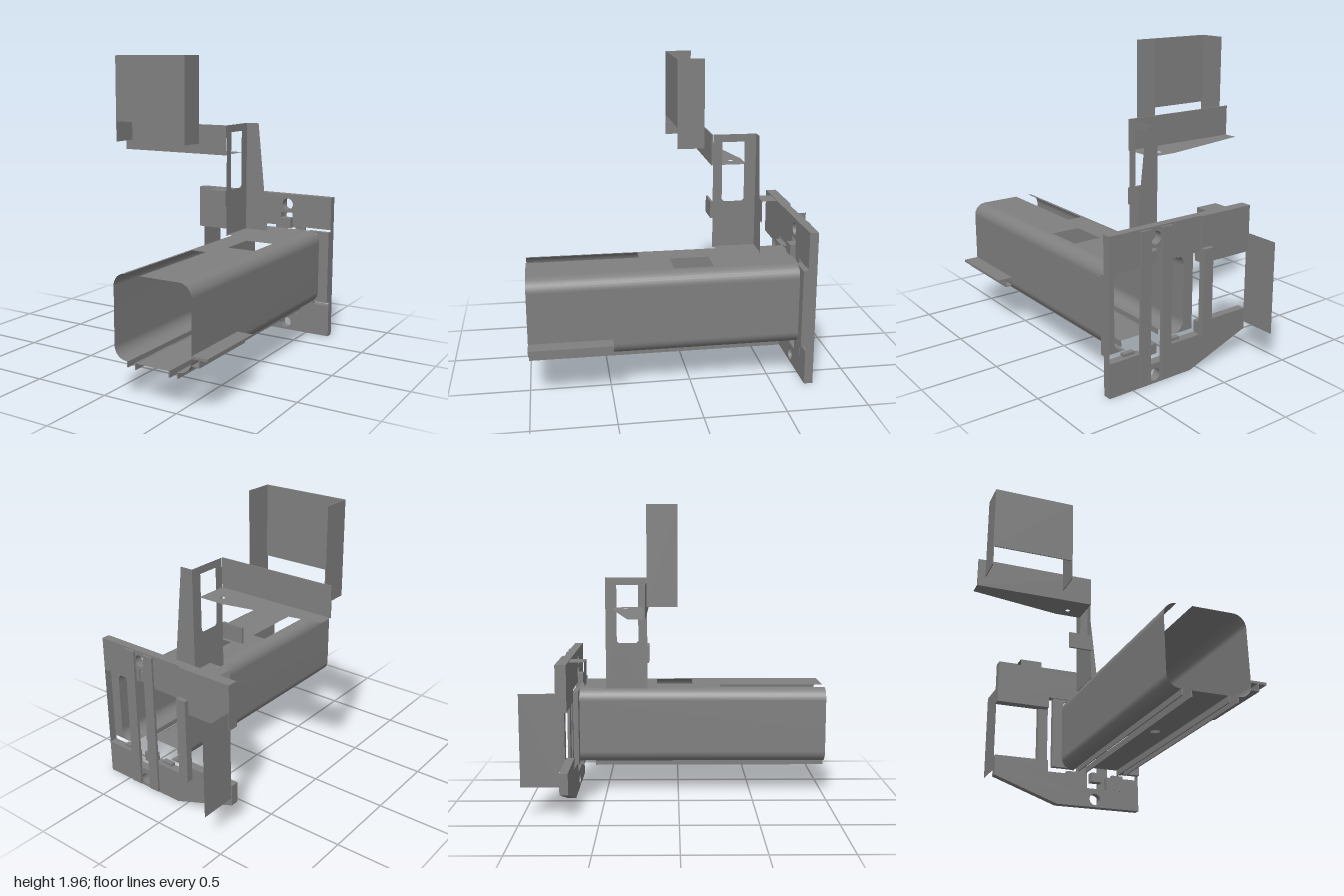
import * as THREE from 'three';

const material = new THREE.MeshStandardMaterial({ color: 0x808080, side: THREE.DoubleSide });

export function createModel() {
  const model = new THREE.Group();
  const add = (name, geometry) => {
    const mesh = new THREE.Mesh(geometry, material);
    mesh.name = name;
    model.add(mesh);
    return mesh;
  };
  // Box given by its two extreme corners
  const box = (name, x0, x1, y0, y1, z0, z1) =>
    add(name, new THREE.BoxGeometry(x1 - x0, y1 - y0, z1 - z0)
      .translate((x0 + x1) / 2, (y0 + y1) / 2, (z0 + z1) / 2));
  const poly = (pts) => new THREE.Shape(pts.map(([x, y]) => new THREE.Vector2(x, y)));
  const rect = (x0, x1, y0, y1) => poly([[x0, y0], [x1, y0], [x1, y1], [x0, y1]]);
  const hole = (shape, x, y, r) => {
    shape.holes.push(new THREE.Path().absarc(x, y, r, 0, Math.PI * 2, true));
    return shape;
  };
  // Upright plate, outline in x and y
  const plate = (name, shape, z0, z1) =>
    add(name, new THREE.ExtrudeGeometry(shape, { depth: z1 - z0, bevelEnabled: false, curveSegments: 24 })
      .translate(0, 0, z0));
  // Thin sheets: level (x, z), facing front (x, y) and facing sideways (-z, y)
  const level = (name, shape, y) =>
    add(name, new THREE.ShapeGeometry(shape, 24).rotateX(Math.PI / 2).translate(0, y, 0));
  const facing = (name, shape, z) => add(name, new THREE.ShapeGeometry(shape).translate(0, 0, z));
  const sideways = (name, shape, x) =>
    add(name, new THREE.ShapeGeometry(shape).rotateY(Math.PI / 2).translate(x, 0, 0));
  // Bent sheet: an open profile in x and y carried along z
  const bent = (name, pts, z0, z1) => {
    const pos = [], index = [];
    pts.forEach((p, i) => {
      pos.push(p.x, p.y, z0, p.x, p.y, z1);
      const k = 2 * i;
      if (i) index.push(k - 2, k, k - 1, k - 1, k, k + 1);
    });
    const g = new THREE.BufferGeometry();
    g.setAttribute('position', new THREE.Float32BufferAttribute(pos, 3));
    g.setIndex(index);
    g.computeVertexNormals();
    return add(name, g);
  };

  // Long open tube: mirrored side walls with rounded corners
  const cx = 0.34;
  for (const s of [-1, 1]) {
    const pts = [new THREE.Vector2(cx + s * 0.17, 0.24)];
    for (const [cy, start] of [[0.32, -90], [0.67, 0]]) {
      for (let i = 0; i <= 8; i++) {
        const a = THREE.MathUtils.degToRad(start + i * 11.25);
        pts.push(new THREE.Vector2(cx + s * (0.18 + 0.08 * Math.cos(a)), cy + 0.08 * Math.sin(a)));
      }
    }
    bent('tubeWall', pts, -0.68, 1);
    // Lips along the floor gaps
    box('floorLip', cx + s * 0.17 - 0.004, cx + s * 0.17 + 0.004, 0.205, 0.24, -0.57, 1);
    box('floorRailLip', cx + s * 0.115 - 0.004, cx + s * 0.115 + 0.004, 0.2, 0.24, -0.57, 1);

    // Flange beside the tube end, rounded to match its corners
    const inner = cx + s * 0.18, edge = cx + s * 0.26, outer = cx + s * 0.33;
    const flange = new THREE.Shape();
    flange.moveTo(outer, 0.25);
    flange.lineTo(inner, 0.25);
    flange.quadraticCurveTo(edge, 0.25, edge, 0.33);
    flange.lineTo(edge, 0.67);
    flange.quadraticCurveTo(edge, 0.75, inner, 0.75);
    flange.lineTo(outer, 0.75);
    plate('tubeFlange', flange, -0.705, -0.67);
  }

  // Tube roof with a front slot and a rectangular opening
  const roof = poly([[0.16, -0.68], [0.52, -0.68], [0.52, 1], [0.26, 1], [0.26, 0.29], [0.16, 0.29]]);
  roof.holes.push(rect(0.31, 0.5, -0.15, 0.1));
  level('tubeRoof', roof, 0.75);

  // Central floor strip
  level('tubeFloor', hole(rect(0.225, 0.455, -0.57, 1), cx, 0.3, 0.03), 0.238);

  // Side guide near the open end
  box('sideGuideFin', 0.6, 0.7, 0.335, 0.35, 0.49, 1);
  box('sideGuideShelf', 0.6, 0.65, 0.29, 0.297, 0.49, 1);
  box('sideGuideWeb', 0.643, 0.65, 0.29, 0.335, 0.49, 1);

  // Rear mounting plates above and below the window
  plate('upperPlate', hole(poly([
    [-0.39, 0.69], [-0.01, 0.69], [-0.01, 0.765], [0.29, 0.765], [0.29, 0.86], [0.43, 0.86],
    [0.43, 0.765], [0.67, 0.765], [0.67, 0.99], [-0.39, 0.99],
  ]), cx, 0.92, 0.04), -0.755, -0.7);
  plate('lowerPlate', hole(poly([
    [0.06, 0], [0.67, 0], [0.67, 0.22], [0.43, 0.22], [0.43, 0.13], [0.25, 0.13], [0.25, 0.22],
    [-0.01, 0.22], [-0.01, 0.3], [-0.39, 0.3], [-0.39, 0.16],
  ]), cx, 0.055, 0.04), -0.755, -0.7);
  box('upperPlateBacking', -0.39, 0, 0.69, 0.99, -0.77, -0.755);
  sideways('plateEdge', rect(0.7, 0.755, 0, 0.99), 0.67);

  // Strips across the back of the window
  box('frameStrip', -0.07, 0, 0.22, 0.79, -0.8, -0.755);
  for (const x of [0.225, 0.38]) box('rearStrip', x, x + 0.075, 0.01, 0.98, -0.77, -0.752);

  // Small clips around the tube end
  box('topClip', 0.3, 0.38, 0.755, 0.825, -0.72, -0.665);
  box('topClipSide', 0.38, 0.43, 0.755, 0.86, -0.73, -0.7);
  box('bottomClip', 0.3, 0.38, 0.17, 0.235, -0.72, -0.665);
  for (const x of [0.13, 0.47]) box('bottomTab', x, x + 0.08, 0.13, 0.238, -0.73, -0.698);

  // Folded tab on the front of the upper plate
  facing('foldedTabFace', rect(-0.26, -0.105, 0.83, 0.985), -0.6);
  level('foldedTabTop', rect(-0.26, -0.105, -0.7, -0.6), 0.985);

  // Thin fin behind the plate edge
  sideways('rearFin', rect(0.755, 1, 0.21, 0.81), -0.385);

  // Open post: foot, tapering back and a windowed side wall
  level('postFoot', rect(0.12, 0.29, -0.49, -0.22), 0.757);
  facing('postBack', poly([[0.12, 0.75], [0.29, 0.75], [0.21, 1.5], [0.12, 1.5]]), -0.49);
  const side = rect(0.21, 0.49, 0.75, 1.5);
  side.holes.push(poly([
    [0.285, 1.06], [0.4, 1.06], [0.415, 1.075], [0.415, 1.45], [0.27, 1.45], [0.27, 1.075],
  ]));
  sideways('postSide', side, 0.12);
  box('postTab', -0.04, 0.12, 0.95, 1.06, -0.21, -0.195);

  // Angle-section arm: upright front and tapering shelf
  box('armFront', -0.7, 0.12, 1.3, 1.5, -0.208, -0.2);
  level('armShelf', hole(poly([
    [-0.7, -0.2], [0.12, -0.2], [0.12, -0.43], [-0.06, -0.43], [-0.7, -0.3],
  ]), 0, -0.35, 0.015), 1.302);

  // Folded panel with two side flanges
  box('panelFront', -0.645, -0.09, 1.51, 1.96, -0.02, -0.012);
  for (const x of [-0.649, -0.094]) box('panelFlange', x, x + 0.006, 1.37, 1.96, -0.192, -0.012);

  return model;
}
